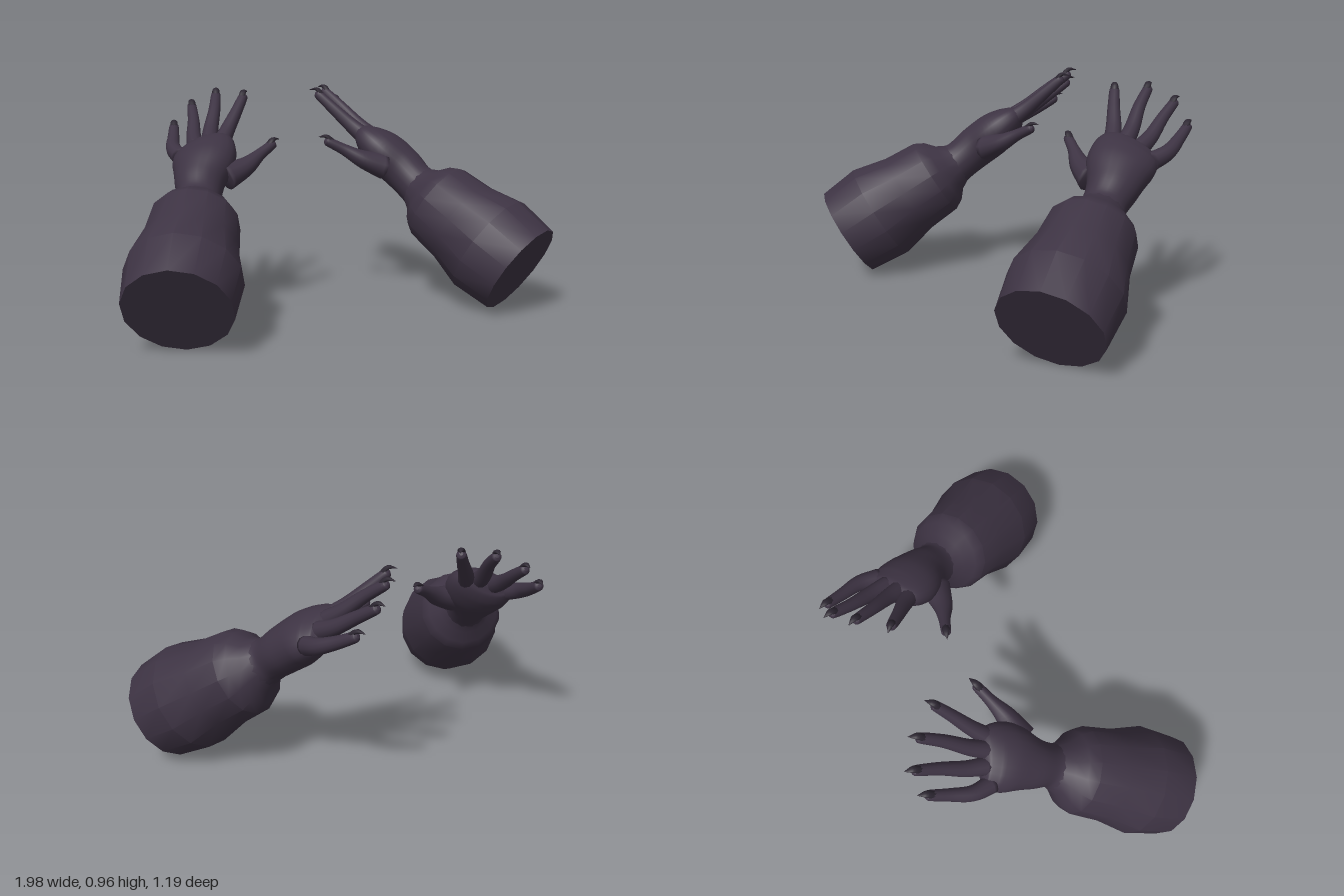
import * as THREE from 'three';
import { toCreasedNormals } from 'three/addons/utils/BufferGeometryUtils.js';

const V = (p) => new THREE.Vector3(...p);
const BACK_OF_HAND = V([0.54, 0.73, 0.4]).normalize();

// Smooth closed tube: elliptical sections [halfWidth, halfThickness] along a curve of points
function loft(points, radii, up, sides = 14, steps = 6) {
  const path = new THREE.CatmullRomCurve3(points.map(V));
  const size = new THREE.CatmullRomCurve3(radii.map(([w, t]) => V([w, t, 0])), false, 'catmullrom');
  const rings = (points.length - 1) * steps;
  const pos = [], index = [];
  for (let i = 0; i <= rings; i++) {
    const u = i / rings;
    const p = path.getPoint(u), r = size.getPoint(u), t = path.getTangent(u);
    const s = new THREE.Vector3().crossVectors(up, t).normalize();
    const n = new THREE.Vector3().crossVectors(t, s);
    for (let j = 0; j < sides; j++) {
      const a = (j / sides) * Math.PI * 2;
      const q = p.clone()
        .addScaledVector(s, Math.cos(a) * Math.max(r.x, 0.0005))
        .addScaledVector(n, Math.sin(a) * Math.max(r.y, 0.0005));
      pos.push(q.x, q.y, q.z);
      if (i < rings) {
        const k = (j + 1) % sides, b = i * sides, c = b + sides;
        index.push(b + j, b + k, c + k, b + j, c + k, c + j);
      }
    }
  }
  // close both ends
  for (let j = 1; j < sides - 1; j++) {
    const e = rings * sides;
    index.push(0, j + 1, j, e, e + j, e + j + 1);
  }
  const geo = new THREE.BufferGeometry();
  geo.setAttribute('position', new THREE.Float32BufferAttribute(pos, 3));
  geo.setIndex(index);
  geo.computeVertexNormals();
  return geo.toNonIndexed();
}

// Mirror across x, swapping corners so faces still point outward
function mirrored(source) {
  const geo = source.clone();
  for (const name of ['position', 'normal']) {
    const attr = geo.getAttribute(name);
    const old = attr.clone();
    for (let i = 0; i < attr.count; i++) {
      const k = i - (i % 3) + (2 - (i % 3));
      attr.setXYZ(i, -old.getX(k), old.getY(k), old.getZ(k));
    }
  }
  return geo;
}

// Wide banded sleeve with a flat end
function sleeveGeometry() {
  const profile = [[0.09, -0.14], [0.122, -0.082], [0.165, -0.045], [0.19, 0], [0.202, 0.15],
    [0.24, 0.31], [0.221, 0.49], [0, 0.49]].map(([r, s]) => new THREE.Vector2(r, s));
  let geo = new THREE.LatheGeometry(profile, 14);
  geo.deleteAttribute('uv');
  geo = toCreasedNormals(geo, 0.5);
  const axis = V([0.41, -0.53, 0.745]).normalize();
  geo.applyQuaternion(new THREE.Quaternion().setFromUnitVectors(new THREE.Vector3(0, 1, 0), axis));
  return geo.translate(0.59, 0.45, 0.08);
}

// Wrist and palm
function palmGeometry() {
  return loft(
    [[0.56, 0.49, 0.02], [0.53, 0.53, -0.03], [0.5, 0.59, -0.1], [0.455, 0.655, -0.175],
      [0.43, 0.7, -0.235], [0.42, 0.728, -0.275], [0.417, 0.737, -0.29]],
    [[0.11, 0.11], [0.094, 0.095], [0.112, 0.1], [0.143, 0.1], [0.142, 0.08], [0.115, 0.05], [0.06, 0.015]],
    BACK_OF_HAND, 24);
}

const digits = {
  thumb: [[0.39, 0.61, -0.085], [0.29, 0.645, -0.1], [0.21, 0.69, -0.13], [0.135, 0.73, -0.158]],
  indexFinger: [[0.36, 0.735, -0.215], [0.31, 0.79, -0.265], [0.245, 0.865, -0.32], [0.19, 0.93, -0.37]],
  middleFinger: [[0.4, 0.74, -0.25], [0.37, 0.79, -0.315], [0.32, 0.87, -0.4], [0.28, 0.935, -0.485]],
  ringFinger: [[0.455, 0.715, -0.275], [0.435, 0.755, -0.36], [0.4, 0.82, -0.46], [0.375, 0.88, -0.555]],
  littleFinger: [[0.52, 0.675, -0.29], [0.525, 0.705, -0.38], [0.495, 0.745, -0.47], [0.465, 0.788, -0.55]],
};

function digitGeometry(name, pts) {
  const base = name === 'thumb' ? [[0.07, 0.06], [0.046, 0.042]] : [[0.04, 0.042], [0.034, 0.034]];
  // rounded fingertip just past the last joint
  const dir = V(pts[3]).sub(V(pts[2])).normalize();
  const tip = V(pts[3]).addScaledVector(dir, 0.012).toArray();
  return loft([...pts, tip], [...base, [0.027, 0.027], [0.021, 0.021], [0.008, 0.008]], BACK_OF_HAND, 12);
}

// Curved claw on top of the fingertip, levelling out forwards
function clawGeometry(pts) {
  const end = V(pts[3]);
  const dir = end.clone().sub(V(pts[2])).normalize();
  const level = new THREE.Vector3(dir.x, 0, dir.z).normalize();
  const root = end.clone().addScaledVector(dir, -0.03).add(V([0, 0.01, 0]));
  const bend = end.clone().addScaledVector(dir, 0.004).add(V([0, 0.02, 0]));
  const tip = end.clone().addScaledVector(level, 0.04).add(V([0, 0.02, 0]));
  return loft([root.toArray(), bend.toArray(), tip.toArray()],
    [[0.017, 0.014], [0.015, 0.009], [0.001, 0.001]], new THREE.Vector3(0, 1, 0), 8, 5);
}

export function createModel() {
  const skin = new THREE.MeshStandardMaterial({ color: 0x3d3343 });
  skin.name = 'dusky purple';
  const horn = new THREE.MeshStandardMaterial({ color: 0x2c2631 });
  horn.name = 'dark claw';

  const parts = [
    ['sleeve', sleeveGeometry(), skin],
    ['palm', palmGeometry(), skin],
  ];
  for (const [name, pts] of Object.entries(digits)) {
    parts.push([name, digitGeometry(name, pts), skin]);
    parts.push([name + 'Claw', clawGeometry(pts), horn]);
  }

  const model = new THREE.Group();
  model.name = 'clawedArms';
  for (const side of ['left', 'right']) {
    const arm = new THREE.Group();
    arm.name = side + 'Arm';
    for (const [name, geo, material] of parts) {
      const mesh = new THREE.Mesh(side === 'left' ? geo : mirrored(geo), material);
      mesh.name = name;
      arm.add(mesh);
    }
    model.add(arm);
  }
  return model;
}
